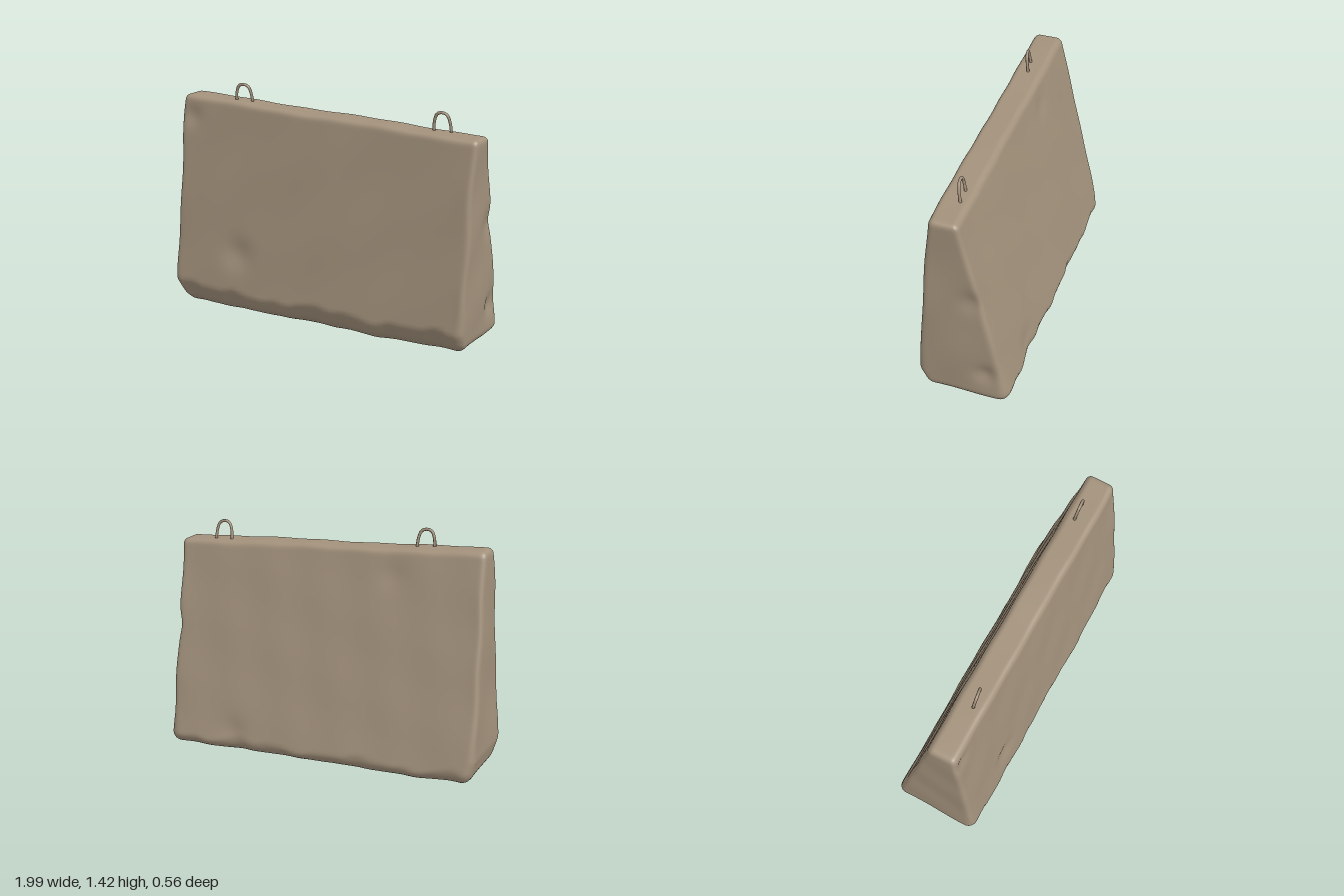
import * as THREE from 'three';
import { mergeVertices } from 'three/addons/utils/BufferGeometryUtils.js';

const lerp = THREE.MathUtils.lerp;
const clamp = THREE.MathUtils.clamp;
const smooth = THREE.MathUtils.smoothstep;

// Gentle lumps, roughly -1..1
function lumps(x, y, z, seed) {
  return (Math.sin(7 * x + 3 * y + seed) + Math.sin(13 * y - 5 * x + 9 * z + seed * 2.3)
    + Math.sin(19 * x + 11 * z - 7 * y + seed * 3.7)) / 3;
}

// Wear along one dimension, for edges
const wear = (x, seed) => Math.sin(9 * x + seed) * 0.5 + Math.sin(23 * x + seed * 2) * 0.35 + Math.sin(41 * x) * 0.15;

// Smooth round dent, 1 in the middle
const dent = (dx, dy, radius) => Math.exp(-(dx * dx + dy * dy) / (radius * radius));

// Tapered block: a dense box shaped into a wedge with rounded, chipped edges
function blockGeometry() {
  const box = new THREE.BoxGeometry(2, 2, 2, 80, 54, 22);
  box.deleteAttribute('uv');
  box.deleteAttribute('normal');
  const geo = mergeVertices(box);
  const pos = geo.attributes.position;
  // Crowd the grid toward the edges
  const spread = (u) => 0.4 * u + 0.6 * Math.sin(u * Math.PI / 2);

  for (let i = 0; i < pos.count; i++) {
    const u = spread(pos.getX(i)), v = spread(pos.getY(i)), w = spread(pos.getZ(i));
    const t = (v + 1) / 2;

    // Ends lean, the top slopes, front and back taper
    const xMid = lerp(-0.012, 0.025, t), hx = lerp(0.988, 0.97, t);
    const top = lerp(1.325, 1.25, (u + 1) / 2);
    const hy = top / 2;
    const front = lerp(0.284, 0.166, t), back = lerp(-0.29, -0.006, t);
    const zMid = (front + back) / 2, hz = (front - back) / 2;

    // Round the edges, more at the base
    const r = lerp(0.065, 0.032, smooth(t, 0, 0.25));
    const p = [u * hx, v * hy, w * hz];
    const core = [hx, hy, hz].map((h, k) => clamp(p[k], r - h, h - r));
    const d = p.map((c, k) => c - core[k]);
    const len = Math.hypot(...d);
    const q = len > r ? core.map((c, k) => c + d[k] * r / len) : p;
    let x = q[0] + xMid, y = q[1] + hy, z = q[2] + zMid;

    // Broken lower edges on the front and back
    const cutFront = 0.13 + 0.025 * wear(x, 1) + 0.05 * smooth(-x, 0.75, 1);
    const cutBack = 0.07 + 0.03 * wear(x, 4);
    if (w > 0) z -= w * 0.55 * Math.max(0, cutFront - y);
    else z -= w * 0.35 * Math.max(0, cutBack - y);
    // Chipped base corner on the right end
    if (u < 0) x += -u * 0.25 * Math.max(0, 0.14 - y);

    // Hollows in the faces and chips in the corners
    if (w > 0.9) z -= 0.022 * dent(x + 0.53, y - 0.38, 0.09) + 0.015 * dent(x + 0.88, y - 1.2, 0.06);
    if (w < -0.9) z += 0.012 * dent(x - 0.55, y - 0.12, 0.08) + 0.01 * dent(x + 0.4, y - 1.15, 0.08);
    if (u > 0.9) x -= 0.02 * dent(z + 0.14, y - 0.2, 0.06) + 0.02 * dent(z + 0.08, y - 0.72, 0.07);

    // Uneven cast surface, rougher near the ends
    const rough = 0.004 + 0.004 * smooth(Math.abs(u), 0.85, 1);
    pos.setXYZ(i,
      clamp(x + rough * lumps(x, y, z, 1) * Math.abs(u), -1, 1),
      Math.max(0, y + 0.005 * lumps(x, y, z, 2)),
      z + rough * lumps(x, y, z, 5));
  }
  geo.computeVertexNormals();
  return geo;
}

// Bent bar lifting loop, its feet sunk in the top
function liftingLoop(name, x, top, z, twist, material) {
  const outline = [[-0.052, -0.14], [-0.048, -0.06], [-0.03, -0.018], [0, -0.009], [0.028, -0.02], [0.045, -0.06], [0.054, -0.14]];
  const curve = new THREE.CatmullRomCurve3(outline.map(([a, b]) => new THREE.Vector3(a, b, b * 0.12)));
  const loop = new THREE.Mesh(new THREE.TubeGeometry(curve, 28, 0.009, 8), material);
  loop.name = name;
  loop.position.set(x, top, z);
  loop.rotation.y = twist;
  return loop;
}

export function createModel() {
  const concrete = new THREE.MeshStandardMaterial({ color: 0xa3927c });
  concrete.name = 'concrete';

  const model = new THREE.Group();
  model.name = 'concreteBarrier';

  const block = new THREE.Mesh(blockGeometry(), concrete);
  block.name = 'block';
  model.add(block);

  model.add(liftingLoop('rightLiftingLoop', -0.556, 1.42, 0.102, 0.15, concrete));
  model.add(liftingLoop('leftLiftingLoop', 0.738, 1.375, 0.066, 0.06, concrete));
  return model;
}
